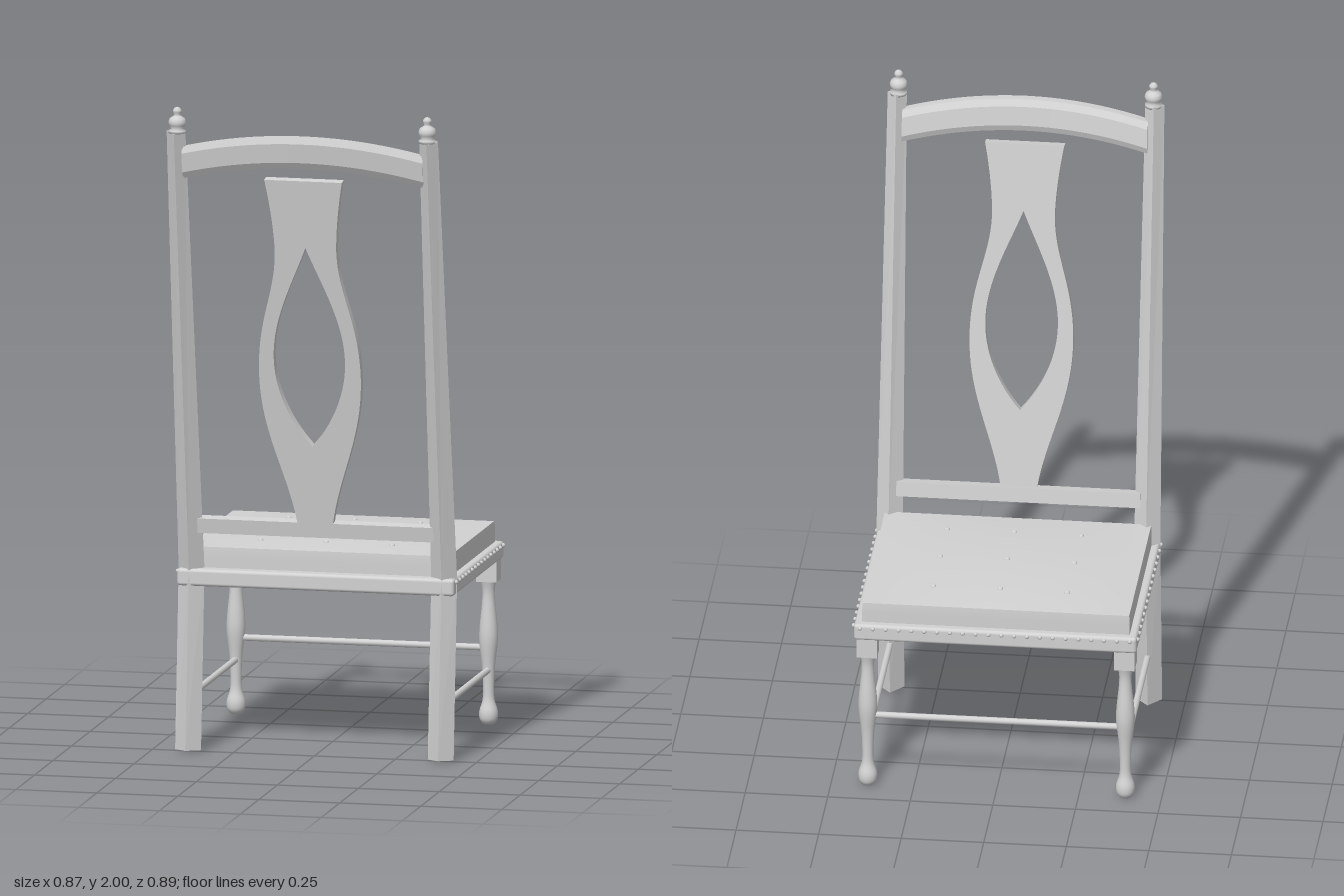
import * as THREE from 'three';
import { RoundedBoxGeometry } from 'three/addons/geometries/RoundedBoxGeometry.js';

const grey = new THREE.MeshStandardMaterial({ color: 0xd2d2d2 });
grey.name = 'plain grey';

// Centre line of the back posts: z for a height above the seat
const SEAT_Y = 0.55, SEAT_Z = 0.203, SLOPE = 0.153;
const backZ = (y) => SEAT_Z + SLOPE * (y - SEAT_Y);
const lean = Math.atan(SLOPE);

// Joins rings of points into a closed, flat-shaded solid
function loft(rings) {
  const pos = [];
  const n = rings[0].length;
  const tri = (a, b, c) => pos.push(...a, ...b, ...c);
  for (let i = 0; i < rings.length - 1; i++) {
    for (let j = 0; j < n; j++) {
      const k = (j + 1) % n;
      const [a, b, c, d] = [rings[i][j], rings[i][k], rings[i + 1][k], rings[i + 1][j]];
      tri(a, b, c);
      tri(a, c, d);
    }
  }
  const first = rings[0], last = rings[rings.length - 1];
  for (let j = 1; j < n - 1; j++) {
    tri(first[0], first[j + 1], first[j]);
    tri(last[0], last[j], last[j + 1]);
  }
  const g = new THREE.BufferGeometry();
  g.setAttribute('position', new THREE.Float32BufferAttribute(pos, 3));
  g.computeVertexNormals();
  return g;
}

export function createModel() {
  const chair = new THREE.Group();
  chair.name = 'chair';
  const add = (name, geometry, x = 0, y = 0, z = 0) => {
    const m = new THREE.Mesh(geometry, grey);
    m.name = name;
    m.position.set(x, y, z);
    chair.add(m);
    return m;
  };

  // Seat frame, running past the back posts
  add('seatFrame', new RoundedBoxGeometry(0.856, 0.052, 0.68, 3, 0.01), 0, 0.528, -0.1);

  // Padded cushion with a slightly domed top
  const dome = (x, z) => 0.014 * Math.max(0, 1 - (x / 0.405) ** 2) * Math.max(0, 1 - (z / 0.308) ** 2);
  const cushionGeo = new THREE.BoxGeometry(0.81, 0.064, 0.614, 16, 4, 16);
  const p = cushionGeo.attributes.position;
  for (let i = 0; i < p.count; i++) {
    const x = p.getX(i), y = p.getY(i), z = p.getZ(i);
    if (y > 0.03) p.setXYZ(i, x * 0.996, y + dome(x, z), z * 0.996);
  }
  cushionGeo.computeVertexNormals();
  add('cushion', cushionGeo, 0, 0.585, -0.108);

  // Cushion buttons
  const button = new THREE.SphereGeometry(0.009, 12, 8);
  for (const x of [-0.203, 0, 0.203]) {
    for (const z of [-0.293, -0.103, 0.087]) {
      add('cushionButton', button, x, 0.615 + dome(x, z + 0.108), z);
    }
  }

  // Upholstery nails along the front and both sides
  const nail = new THREE.SphereGeometry(0.0065, 10, 8);
  for (let i = 0; i < 22; i++) add('frontNail', nail, -0.408 + i * 0.0389, 0.543, -0.44);
  for (let i = 0; i < 16; i++) {
    for (const s of [-1, 1]) add('sideNail', nail, s * 0.43, 0.543, -0.42 + i * 0.0423);
  }

  // Tapered back posts with a bend at the seat, ends cut square to the post
  const diamond = (y, z, r, d, tilt) => [[-r, y, z], [0, y + d * tilt, z + d], [r, y, z], [0, y - d * tilt, z - d]];
  const postGeo = loft([
    diamond(0.0033, 0.25, 0.04, 0.04, 0.083),
    diamond(SEAT_Y, SEAT_Z, 0.04, 0.036, 0),
    diamond(1.925, backZ(1.925), 0.029, 0.03, -SLOPE),
  ]);
  const finialGeo = new THREE.LatheGeometry([
    [0, 0], [0.026, 0], [0.026, 0.008], [0.018, 0.014], [0.025, 0.024], [0.027, 0.034],
    [0.023, 0.045], [0.012, 0.052], [0.009, 0.057], [0.013, 0.064], [0.013, 0.07], [0.008, 0.077], [0, 0.08],
  ].map(([r, y]) => new THREE.Vector2(r, y)), 20);

  // Turned front legs
  const legCurve = new THREE.SplineCurve([
    [0.017, 0], [0.027, 0.015], [0.028, 0.04], [0.018, 0.075], [0.017, 0.12], [0.02, 0.18],
    [0.028, 0.25], [0.027, 0.3], [0.02, 0.37], [0.019, 0.41], [0.026, 0.445],
  ].map(([r, y]) => new THREE.Vector2(r, y)));
  const legGeo = new THREE.LatheGeometry([new THREE.Vector2(0, 0), ...legCurve.getPoints(40)], 20);
  const blockGeo = new THREE.BoxGeometry(0.062, 0.07, 0.062);
  const sideBar = new THREE.CylinderGeometry(0.01, 0.01, 0.625, 12);
  sideBar.rotateX(Math.PI / 2);

  for (const s of [-1, 1]) {
    add('backPost', postGeo, s * 0.39, 0, 0);
    add('finial', finialGeo, s * 0.386, 1.92, backZ(1.925));
    add('frontLeg', legGeo, s * 0.39, 0, -0.396);
    add('legBlock', blockGeo, s * 0.39, 0.473, -0.396);
    add('sideStretcher', sideBar, s * 0.39, 0.165, -0.077);
  }
  const frontBar = new THREE.CylinderGeometry(0.01, 0.01, 0.76, 12);
  frontBar.rotateZ(Math.PI / 2);
  add('frontStretcher', frontBar, 0, 0.233, -0.396);

  // Lower back rail
  const lowRail = add('lowerBackRail', new THREE.BoxGeometry(0.74, 0.046, 0.034), 0, 0.69, backZ(0.69) - 0.005);
  lowRail.rotation.x = lean;

  // Arched crest rail with chamfered edges, bowed backwards
  const section = [[-0.5, -0.3], [-0.5, 0.3], [-0.28, 0.5], [0.28, 0.5], [0.5, 0.3], [0.5, -0.3], [0.28, -0.5], [-0.28, -0.5]];
  const rings = [];
  for (let i = 0; i <= 20; i++) {
    const t = i / 10 - 1;
    const bow = 1 - t * t;
    const y = 1.828 + 0.047 * bow;
    const z = 0.393 + 0.02 * bow;
    rings.push(section.map(([u, v]) => [t * 0.372, y + v * 0.098, z + u * 0.044 + v * 0.098 * SLOPE]));
  }
  add('crestRail', loft(rings));

  // Pierced vase-shaped back splat, in heights measured from its foot
  const splat = new THREE.Shape();
  splat.moveTo(-0.055, 0);
  splat.lineTo(0.055, 0);
  splat.bezierCurveTo(0.08, 0.16, 0.157, 0.28, 0.157, 0.47);
  splat.bezierCurveTo(0.157, 0.65, 0.095, 0.73, 0.095, 0.87);
  splat.quadraticCurveTo(0.098, 0.97, 0.12, 1.088);
  splat.lineTo(-0.12, 1.088);
  splat.quadraticCurveTo(-0.098, 0.97, -0.095, 0.87);
  splat.bezierCurveTo(-0.095, 0.73, -0.157, 0.65, -0.157, 0.47);
  splat.bezierCurveTo(-0.157, 0.28, -0.08, 0.16, -0.055, 0);
  const eye = new THREE.Path();
  eye.moveTo(0, 0.244);
  eye.bezierCurveTo(-0.05, 0.3, -0.11, 0.4, -0.11, 0.52);
  eye.bezierCurveTo(-0.11, 0.65, -0.04, 0.77, 0, 0.876);
  eye.bezierCurveTo(0.04, 0.77, 0.11, 0.65, 0.11, 0.52);
  eye.bezierCurveTo(0.11, 0.4, 0.05, 0.3, 0, 0.244);
  splat.holes.push(eye);
  const splatGeo = new THREE.ExtrudeGeometry(splat, { depth: 0.028, bevelEnabled: false, curveSegments: 20 });
  splatGeo.translate(0, 0, -0.014);
  add('backSplat', splatGeo, 0, 0.712, backZ(0.712) - 0.002).rotation.x = lean;

  return chair;
}
